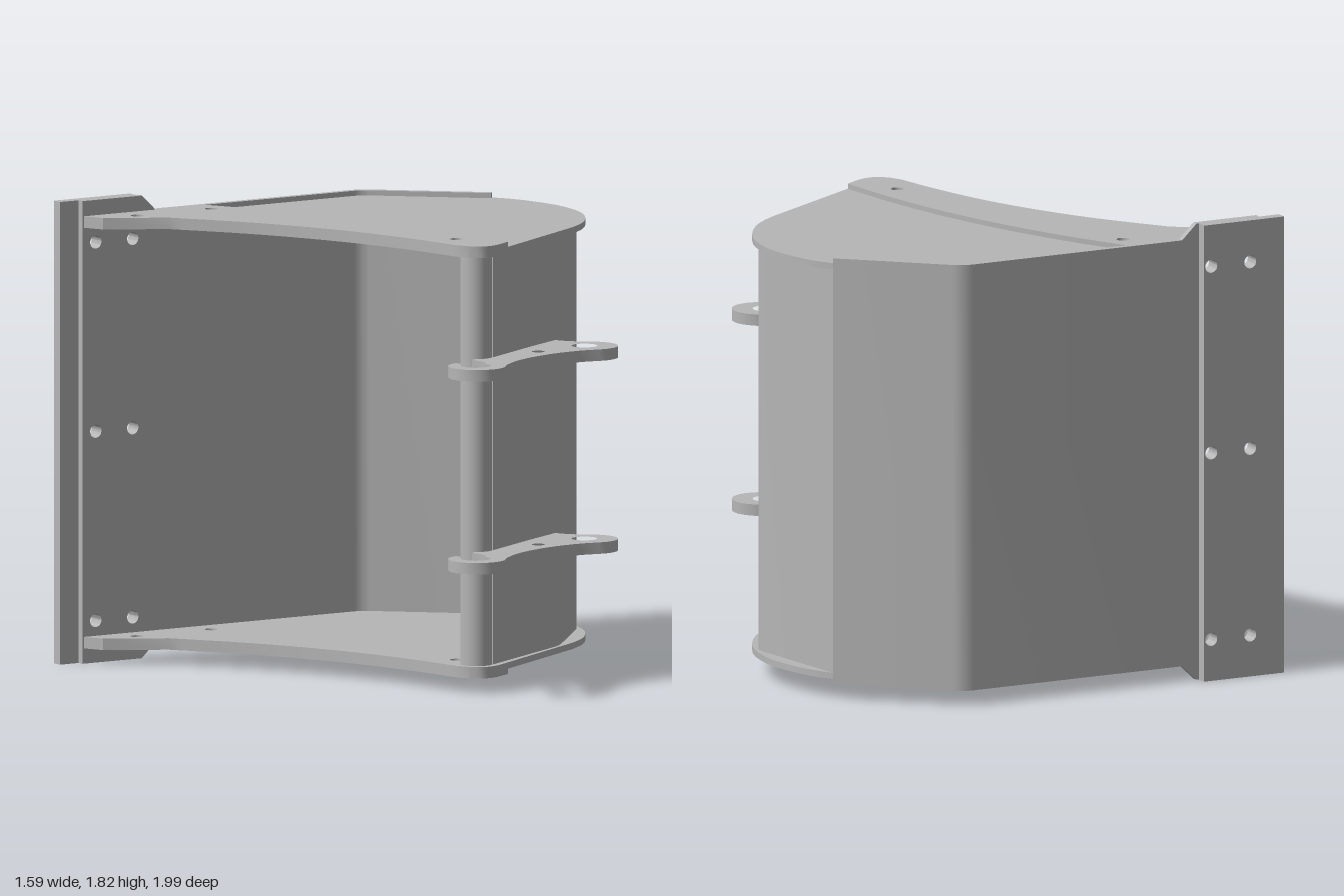
import * as THREE from 'three';
import { toCreasedNormals } from 'three/addons/utils/BufferGeometryUtils.js';

const H = 1.815; // overall height; everything mirrors about H / 2
const steel = new THREE.MeshStandardMaterial({ color: 0xb6b6b6 });
steel.name = 'steel grey';

const v = ([x, y]) => new THREE.Vector2(x, y);

function curve(points, n = 20) {
  return new THREE.SplineCurve(points.map(v)).getPoints(n).map(p => [p.x, p.y]);
}

function arc(cx, cz, r, a0, a1, n = 20) {
  return Array.from({ length: n + 1 }, (_, i) => {
    const a = THREE.MathUtils.degToRad(a0 + (a1 - a0) * i / n);
    return [cx + r * Math.cos(a), cz + r * Math.sin(a)];
  });
}

function extrude(points, depth, holes = []) {
  const shape = new THREE.Shape(points.map(v));
  for (const [x, y, r] of holes) {
    shape.holes.push(new THREE.Path().absarc(x, y, r, 0, Math.PI * 2, true));
  }
  const geo = new THREE.ExtrudeGeometry(shape, { depth, bevelEnabled: false, curveSegments: 16 });
  return toCreasedNormals(geo, 0.5);
}

// Flat plate with an outline in (x, z), lying between two heights
function plate(name, points, y0, y1, holes = []) {
  const flip = ([x, z, ...rest]) => [x, -z, ...rest];
  const geo = extrude(points.map(flip), y1 - y0, holes.map(flip));
  geo.rotateX(-Math.PI / 2).translate(0, y0, 0);
  const mesh = new THREE.Mesh(geo, steel);
  mesh.name = name;
  return mesh;
}

// Round the inner corners of an open path
function fillet(points, r) {
  const out = [points[0]];
  for (let i = 1; i < points.length - 1; i++) {
    const [a, b, c] = [points[i - 1], points[i], points[i + 1]].map(v);
    const p = b.clone().add(a.sub(b).setLength(r));
    const q = b.clone().add(c.sub(b).setLength(r));
    const bend = new THREE.QuadraticBezierCurve(p, b, q);
    out.push(...bend.getPoints(8).map(k => [k.x, k.y]));
  }
  return [...out, points.at(-1)];
}

// Close an open path into a band of thickness t on its inner side
function band(path, t) {
  const inner = path.map((p, i) => {
    const a = path[Math.max(i - 1, 0)], b = path[Math.min(i + 1, path.length - 1)];
    const dx = b[0] - a[0], dz = b[1] - a[1], l = Math.hypot(dx, dz);
    return [p[0] - dz / l * t, p[1] + dx / l * t];
  });
  return [...path, ...inner.reverse()];
}

export function createModel() {
  const group = new THREE.Group();
  group.name = 'bucket';

  // Folded shell: full-width floor, and narrower back between the side plates
  const floor = fillet([[-0.41, -0.822], [0.507, -0.52], [0.77, -0.07]], 0.045);
  const back = fillet([[0.77, -0.07], [0.685, 0.43], [0.27, 0.675], [-0.28, 0.79]], 0.05);
  group.add(plate('floorShell', band(floor, 0.025), 0.06, H - 0.06));
  group.add(plate('backShell', band(back, 0.025), 0.105, H - 0.105));

  // Side plates: a thin panel with a thicker cheek along the open edge
  const seam = new THREE.QuadraticBezierCurve(v([-0.2, 0.8]), v([-0.03, 0.03]), v([-0.19, -0.73]))
    .getPoints(24).map(p => [p.x, p.y]);
  const panel = [
    [-0.19, -0.73], [0.48, -0.508], [0.51, -0.485], [0.75, -0.07], [0.768, -0.07],
    ...curve([[0.785, 0], [0.79, 0.1], [0.77, 0.26], [0.7, 0.42], [0.6, 0.535], [0.48, 0.62], [0.36, 0.668]], 24),
    ...seam.slice(0, -1),
  ];
  const cheek = [
    ...seam,
    [-0.722, -0.905], [-0.71, -0.81],
    ...curve([[-0.54, -0.62], [-0.44, -0.3], [-0.385, 0], [-0.367, 0.25], [-0.375, 0.5], [-0.397, 0.7]]),
    ...curve([[-0.39, 0.755], [-0.36, 0.803], [-0.31, 0.82], [-0.26, 0.814]], 10),
  ];
  const pinHoles = [[-0.575, -0.75, 0.025], [-0.255, -0.64, 0.025], [-0.27, 0.6, 0.025]];
  for (const top of [true, false]) {
    const side = top ? 'upper' : 'lower';
    const add = (name, pts, a, b, holes) =>
      group.add(top ? plate(side + name, pts, a, b, holes) : plate(side + name, pts, H - b, H - a, holes));
    add('SidePanel', panel, 1.71, 1.735);
    add('Cheek', cheek, 1.71, 1.755, pinHoles);
  }

  // Lip and bolted cutting blade, drawn in the plane of the floor
  const edge = new THREE.Group();
  edge.name = 'cuttingEdge';
  edge.position.set(-0.72, 0, -0.925);
  edge.rotation.y = -Math.atan(0.33);
  const bolts = [];
  for (const s of [0.062, 0.232]) for (const y of [0.165, H / 2, H - 0.165]) bolts.push([s, y, 0.026]);
  const lip = new THREE.Mesh(extrude(
    [[0, 0], [0.274, 0], [0.337, 0.06], [0.337, H - 0.06], [0.274, H], [0, H]], 0.027, bolts), steel);
  lip.name = 'lip';
  const blade = new THREE.Mesh(extrude(
    [[-0.086, 0], [0.264, 0], [0.264, H], [-0.086, H]], 0.044, bolts), steel);
  blade.name = 'blade';
  blade.position.z = -0.044;
  edge.add(lip, blade);
  group.add(edge);

  // Round bar along the upper rim
  const bar = new THREE.Mesh(new THREE.CylinderGeometry(0.063, 0.063, H - 0.2, 32), steel);
  bar.name = 'rimBar';
  bar.position.set(-0.306, H / 2, 0.73);
  group.add(bar);

  // Two coupling ears, each with an open hook and a pin eye
  const ear = [
    [0.225, 0.69],
    ...curve([[0.232, 0.73], [0.25, 0.775], [0.285, 0.82]], 8),
    ...arc(0.2, 0.89, 0.106, -25, 125, 16),
    ...curve([[0.08, 0.945], [-0.03, 0.915], [-0.16, 0.905], [-0.29, 0.92], [-0.4, 0.958]], 16),
    ...arc(-0.493, 0.885, 0.112, 60, 268, 24),
    [-0.487, 0.778], [-0.488, 0.8], [-0.505, 0.813],
    ...arc(-0.49, 0.876, 0.058, 240, 0, 20),
    ...curve([[-0.41, 0.865], [-0.388, 0.82], [-0.384, 0.77]], 6),
    [-0.33, 0.76], [-0.25, 0.775],
  ];
  for (const [name, y] of [['upperEar', 1.265], ['lowerEar', 0.508]]) {
    group.add(plate(name, ear, y, y + 0.045, [[0.185, 0.87, 0.05], [-0.05, 0.83, 0.025]]));
  }
  return group;
}
